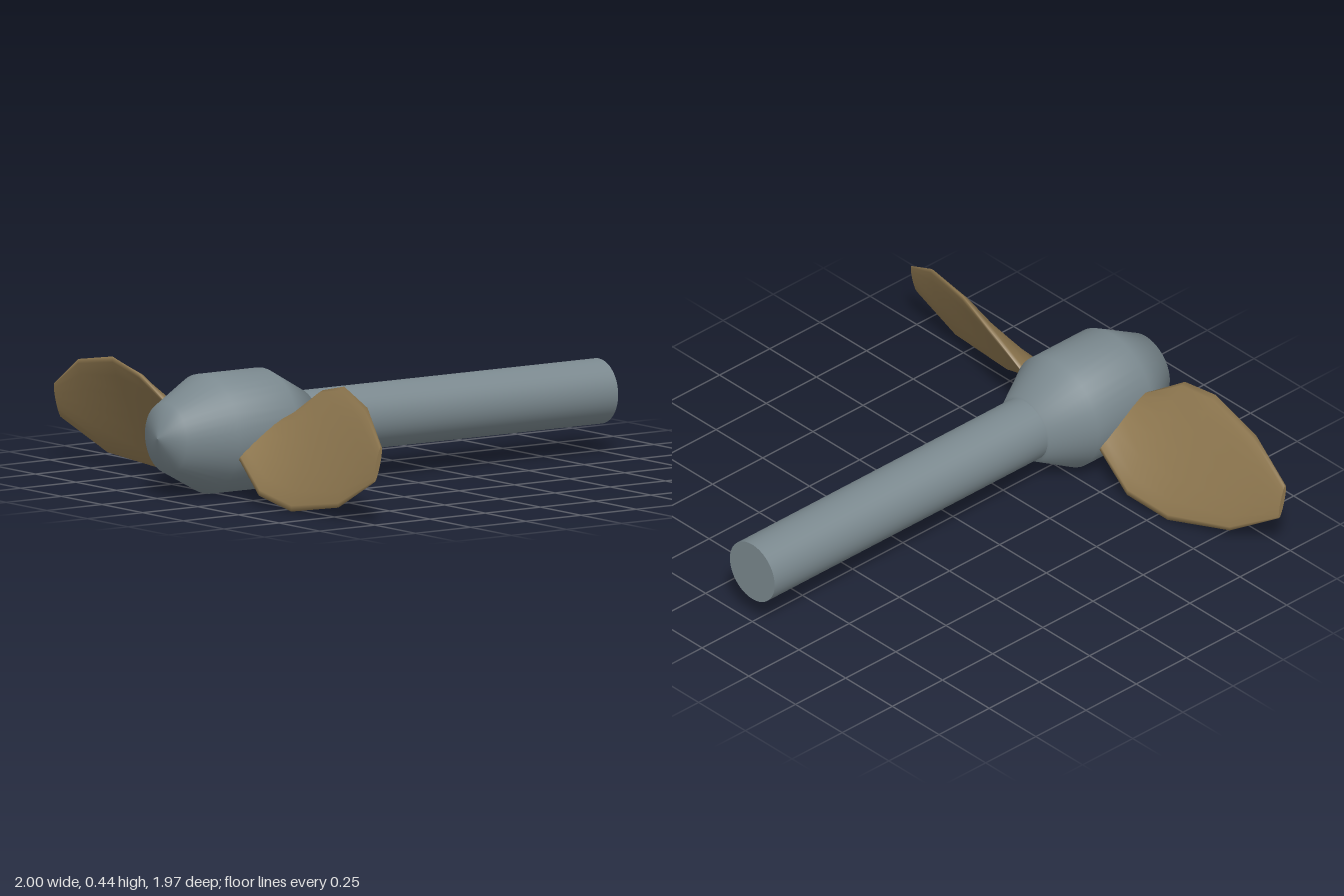
import * as THREE from 'three';

const AXIS_Y = 0.23;

// Blade sections: distance from axis, centre x, half chord in x, half chord in y, half thickness
const SECTIONS = [
  [0.14, -0.66, 0.11, 0.035, 0.022],
  [0.22, -0.66, 0.125, 0.078, 0.024],
  [0.37, -0.667, 0.145, 0.182, 0.026],
  [0.55, -0.678, 0.12, 0.22, 0.025],
  [0.8, -0.702, 0.066, 0.178, 0.02],
  [0.985, -0.725, 0.016, 0.065, 0.01],
];

// Twisted blade lofted along +z from lens-shaped sections
function bladeGeometry() {
  const n = 16, pos = [], idx = [];
  for (const [z, cx, hx, hy, t] of SECTIONS) {
    const len = Math.hypot(hx, hy);
    for (let j = 0; j < n; j++) {
      const a = (j / n) * Math.PI * 2;
      const c = Math.cos(a), s = Math.sin(a) * t / len;
      pos.push(cx + hx * c - hy * s, hy * c + hx * s, z);
    }
  }
  const last = (SECTIONS.length - 1) * n;
  for (let i = 0; i < last; i += n) {
    for (let j = 0; j < n; j++) {
      const k = (j + 1) % n;
      idx.push(i + j, i + k, i + n + k, i + j, i + n + k, i + n + j);
    }
  }
  // Flat tip with its own corners
  const tip = pos.length / 3;
  pos.push(...pos.slice(last * 3));
  for (let j = 1; j < n - 1; j++) idx.push(tip, tip + j, tip + j + 1);

  const g = new THREE.BufferGeometry();
  g.setAttribute('position', new THREE.Float32BufferAttribute(pos, 3));
  g.setIndex(idx);
  g.computeVertexNormals();
  return g;
}

export function createModel() {
  const model = new THREE.Group();
  model.name = 'propeller';

  const steel = new THREE.MeshStandardMaterial({ color: 0x7b898f });
  steel.name = 'steel grey';
  const bronze = new THREE.MeshStandardMaterial({ color: 0x8f7850 });
  bronze.name = 'bronze';

  const add = (name, geometry, material) => {
    const mesh = new THREE.Mesh(geometry, material);
    mesh.name = name;
    mesh.position.y = AXIS_Y;
    model.add(mesh);
    return mesh;
  };

  // Hub, turned about the x axis: profile of radius against x
  const profile = [[0, -1], [0.13, -0.96], [0.22, -0.79], [0.22, -0.52], [0.13, -0.36], [0, -0.36]];
  const hub = new THREE.LatheGeometry(profile.map(([r, x]) => new THREE.Vector2(r, x)), 40);
  hub.rotateZ(-Math.PI / 2);
  add('hub', hub, steel);

  // Drive shaft
  const shaft = new THREE.CylinderGeometry(0.12, 0.12, 1.4, 40);
  shaft.rotateZ(-Math.PI / 2).translate(0.3, 0, 0);
  add('shaft', shaft, steel);

  // Two blades, half a turn apart
  const blade = bladeGeometry();
  ['frontBlade', 'backBlade'].forEach((name, i) => {
    add(name, blade, bronze).rotation.x = i * Math.PI;
  });

  return model;
}
